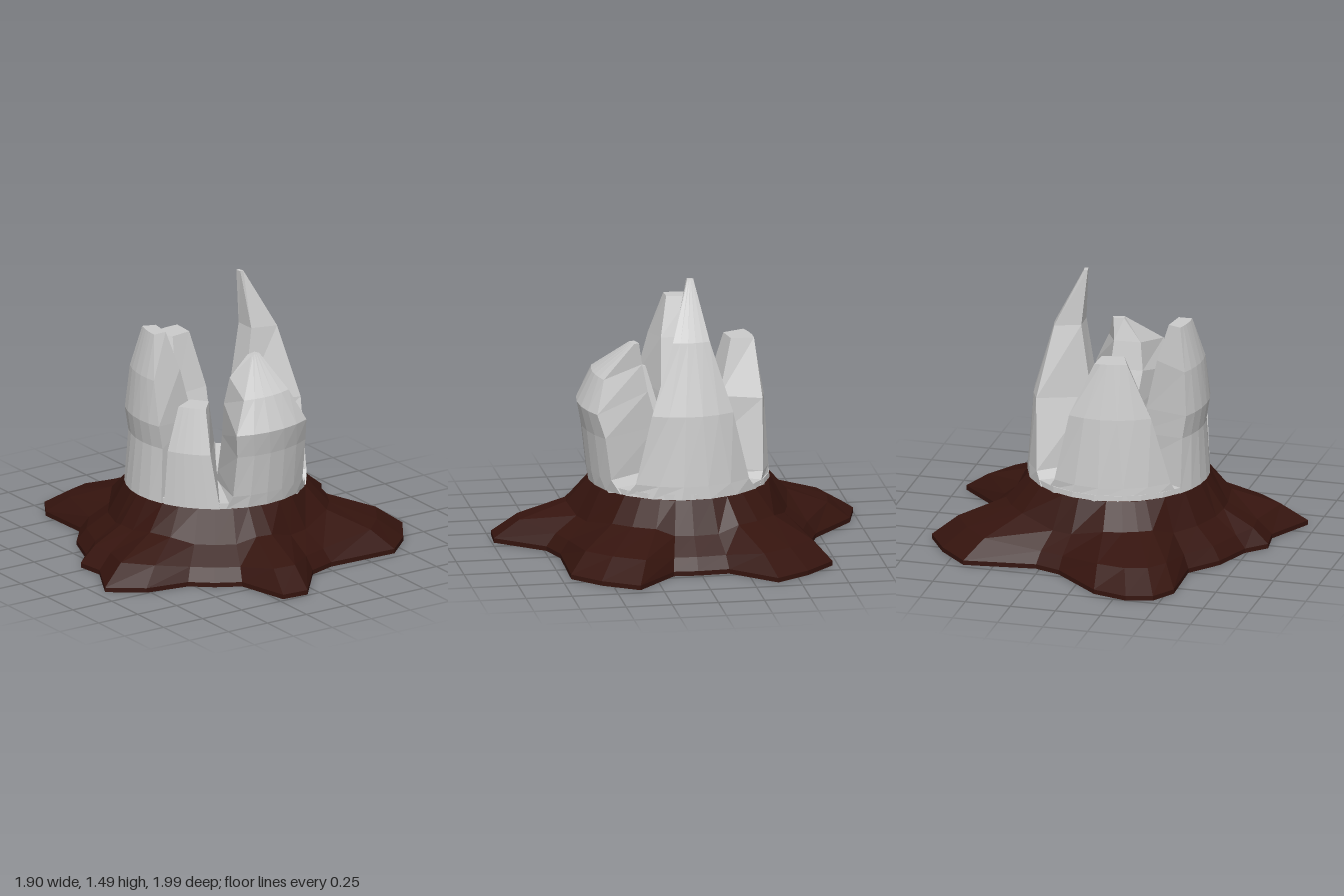
import * as THREE from 'three';

const wood = new THREE.MeshStandardMaterial({ color: 0xcccccc, flatShading: true });
const bark = new THREE.MeshStandardMaterial({ color: 0x35140e, flatShading: true });

// Skin a stack of closed rings (same point count, bottom to top) and cap both ends.
function loft(rings) {
  const out = [];
  const tri = (a, b, c) => out.push(...a, ...b, ...c);
  const n = rings[0].length;
  const centre = (r) => [0, 1, 2].map((k) => r.reduce((s, p) => s + p[k], 0) / n);
  const last = rings[rings.length - 1];
  const cTop = centre(last), cBottom = centre(rings[0]);
  for (let i = 0; i < n; i++) {
    const j = (i + 1) % n;
    for (let k = 0; k + 1 < rings.length; k++) {
      const lo = rings[k], hi = rings[k + 1];
      tri(lo[i], hi[i], lo[j]);
      tri(lo[j], hi[i], hi[j]);
    }
    tri(cTop, last[j], last[i]);
    tri(cBottom, rings[0][i], rings[0][j]);
  }
  const g = new THREE.BufferGeometry();
  g.setAttribute('position', new THREE.Float32BufferAttribute(out, 3));
  g.computeVertexNormals();
  return g;
}

function polar(r, degrees, y) {
  const a = THREE.MathUtils.degToRad(degrees);
  return [r * Math.cos(a), y, r * Math.sin(a)];
}

// Wedge section: outer arc of six points, then two inner points.
function wedge([yOut, yIn, a0, a1, rOut, rIn]) {
  const ring = [];
  for (let i = 0; i <= 5; i++) ring.push(polar(rOut, a0 + ((a1 - a0) * i) / 5, yOut));
  ring.push(polar(rIn, a1, yIn), polar(rIn, a0, yIn));
  return ring;
}

// Sections: outer height, inner height, start angle, end angle, outer radius, inner radius
const shards = {
  tallShard: [
    [0.35, 0.35, -48, 45, 0.49, 0.02], [0.42, 0.42, -41, 38, 0.485, 0.05],
    [0.8, 0.78, -30, 28, 0.455, 0.15], [1.18, 1.18, -19, 15, 0.345, 0.2],
    [1.49, 1.49, -15, -4, 0.185, 0.165],
  ],
  frontShard: [
    [0.35, 0.35, 49, 117, 0.49, 0.02], [0.42, 0.42, 56, 113, 0.5, 0.06],
    [0.65, 0.65, 58, 111, 0.525, 0.15], [0.78, 0.85, 62, 112, 0.55, 0.21],
    [0.95, 1.0, 68, 105, 0.47, 0.23], [1.12, 1.12, 68, 81, 0.28, 0.25],
  ],
  shortShard: [
    [0.35, 0.35, 121, 158, 0.49, 0.02], [0.65, 0.62, 127, 156, 0.48, 0.16],
    [0.89, 0.89, 131, 152, 0.42, 0.29],
  ],
  sideShard: [
    [0.35, 0.35, 160, 212, 0.49, 0.02], [0.65, 0.6, 161, 208, 0.47, 0.14],
    [0.78, 0.75, 162, 207, 0.49, 0.2], [1.02, 1.04, 169, 205, 0.465, 0.27],
    [1.25, 1.25, 178, 200, 0.405, 0.33],
  ],
  backShard: [
    [0.35, 0.35, 214, 306, 0.485, 0.02], [0.42, 0.42, 219, 300, 0.48, 0.06],
    [0.8, 0.8, 232, 290, 0.455, 0.22], [1.1, 1.1, 248, 273, 0.405, 0.28],
  ],
};

// Ground outline of the roots as x, z pairs
const outline = [
  [-0.32, -1], [-0.13, -0.95], [0.13, -0.72], [0.27, -0.67], [0.66, -0.72], [0.82, -0.56],
  [0.93, -0.38], [0.72, -0.15], [0.73, 0.02], [0.72, 0.15], [0.95, 0.37], [0.83, 0.56],
  [0.68, 0.7], [0.28, 0.69], [0.13, 0.74], [-0.07, 0.99], [-0.22, 0.98], [-0.29, 0.69],
  [-0.42, 0.62], [-0.53, 0.53], [-0.77, 0.49], [-0.95, 0.36], [-0.82, 0.11], [-0.84, -0.04],
  [-0.74, -0.14], [-0.66, -0.35], [-0.53, -0.51], [-0.54, -0.83], [-0.46, -0.96],
];

// Roots rise where the outline reaches far out and dip between.
function rootGeometry() {
  const rings = [[], [], [], [], []];
  for (const [x, z] of outline) {
    const r = Math.hypot(x, z);
    const t = THREE.MathUtils.clamp((r - 0.7) / 0.25, 0, 1);
    const at = (radius, y) => [(x / r) * radius, y, (z / r) * radius];
    rings[0].push(at(r, 0));
    rings[1].push(at(r, 0.025));
    rings[2].push(at(0.6 + (r - 0.6) * 0.65, 0.085 + 0.04 * t));
    rings[3].push(at(0.575 + 0.03 * t, 0.17 + 0.05 * t));
    rings[4].push(at(0.49, 0.35));
  }
  return loft(rings);
}

export function createModel() {
  const model = new THREE.Group();
  model.name = 'brokenStump';
  const add = (name, geometry, material) => {
    const mesh = new THREE.Mesh(geometry, material);
    mesh.name = name;
    model.add(mesh);
    return mesh;
  };

  add('roots', rootGeometry(), bark);

  // Hollow floor, visible in the notches between the shards
  const floor = new THREE.LatheGeometry(
    [[0.487, 0.34], [0.485, 0.38], [0.03, 0.36], [0, 0.36]].map(([x, y]) => new THREE.Vector2(x, y)), 24);
  add('hollowFloor', floor, wood);

  for (const [name, sections] of Object.entries(shards)) add(name, loft(sections.map(wedge)), wood);
  return model;
}
